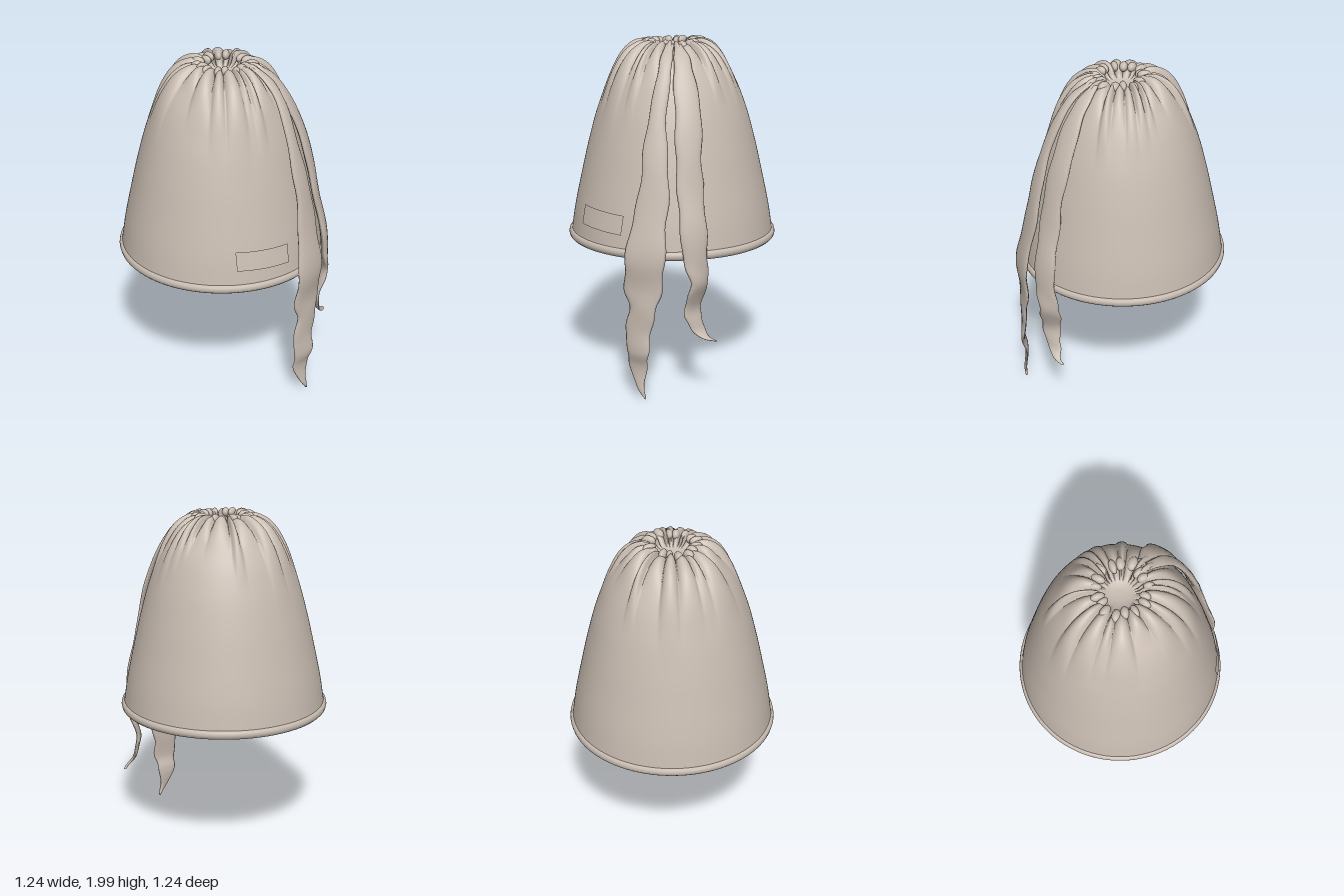
import * as THREE from 'three';

const cloth = new THREE.MeshStandardMaterial({ color: 0xc8bcb1, side: THREE.DoubleSide });
cloth.name = 'beige cloth';

// small seeded generator for irregular pleats
let seed = 11;
const rand = () => ((seed = (seed * 16807) % 2147483647) / 2147483647);
const smooth = (x, a, b) => THREE.MathUtils.smoothstep(x, a, b);

// skin over rows (bottom to top) of points; each row runs rightwards as seen from outside
function skin(rows, closed) {
  const n = rows[0].length, index = [];
  for (let r = 0; r < rows.length - 1; r++) {
    for (let i = 0; i < (closed ? n : n - 1); i++) {
      const j = (i + 1) % n, a = r * n + i, b = r * n + j, c = a + n, d = b + n;
      index.push(a, b, c, b, d, c);
    }
  }
  const g = new THREE.BufferGeometry().setFromPoints(rows.flat());
  g.setIndex(index);
  g.computeVertexNormals();
  return g;
}

function add(group, name, geometry) {
  const mesh = new THREE.Mesh(geometry, cloth);
  mesh.name = name;
  group.add(mesh);
  return mesh;
}

// bell-shaped body gathered into rounded pleats of differing width and length
function bodyGeometry() {
  const profile = new THREE.CatmullRomCurve3([
    [0.605, 0.83], [0.578, 1.0], [0.535, 1.2], [0.488, 1.4], [0.43, 1.6], [0.345, 1.8],
    [0.265, 1.91], [0.19, 1.955], [0.14, 1.95], [0.1, 1.915], [0.05, 1.895], [0, 1.89],
  ].map(([r, y]) => new THREE.Vector3(r, y, 0)), false, 'centripetal');

  const pleats = [];
  let total = 0;
  for (let i = 0; i < 23; i++) {
    const width = 0.55 + rand();
    pleats.push({ start: total, width, reach: 0.32 + 0.17 * rand(), size: 0.03 + 0.025 * rand() });
    total += width;
  }
  const rows = [], steps = 80, around = 288;
  for (let s = 0; s <= steps; s++) {
    const p = profile.getPoint(s / steps);
    const tan = profile.getTangent(s / steps);
    const nr = tan.y, ny = -tan.x;
    const row = [];
    for (let k = 0; k < around; k++) {
      const th = (k / around) * Math.PI * 2;
      // slight sideways drift of the folds
      const drift = 0.25 * (p.x - 0.1) * Math.sin(3 * th + 1);
      const u = ((((th + drift) / (Math.PI * 2)) % 1) + 1) % 1 * total;
      const f = pleats.find((q) => u < q.start + q.width) || pleats[pleats.length - 1];
      const t = THREE.MathUtils.clamp((u - f.start) / f.width, 0, 1);
      const ridge = Math.pow(4 * t * (1 - t), 0.6);
      const fade = smooth(p.x, 0.07, 0.14);
      const bulge = f.size * ridge * fade * (1 - smooth(p.x, f.reach * 0.5, f.reach))
        - 0.024 * fade * (1 - smooth(p.x, 0.2, 0.4));
      const r = Math.max(0, p.x + bulge * nr);
      row.push(new THREE.Vector3(r * Math.sin(th), p.y + bulge * ny, r * Math.cos(th)));
    }
    rows.push(row);
  }
  return skin(rows, true);
}

// soft tie: rows of [y, leftX, leftZ, rightX, rightZ] from tip to top
function tieGeometry(data, thick) {
  const curve = (k) => new THREE.CatmullRomCurve3(
    data.map((d) => new THREE.Vector3(d[k], d[0], d[k + 1])), false, 'centripetal');
  const left = curve(1), right = curve(3), rows = [], steps = 70, sides = 14;
  for (let s = 0; s <= steps; s++) {
    const t = s / steps;
    const a = left.getPoint(t), b = right.getPoint(t);
    const mid = a.clone().add(b).multiplyScalar(0.5);
    const half = b.clone().sub(a).multiplyScalar(0.5);
    half.multiplyScalar(1 + 0.06 * Math.sin(s * 0.9));
    const out = new THREE.Vector3(-half.z, 0, half.x).normalize();
    const ripple = 0.006 * Math.sin(s * 0.55) * (1 - t);
    const row = [];
    for (let i = 0; i < sides; i++) {
      const phi = (i / sides) * Math.PI * 2;
      row.push(mid.clone().addScaledVector(half, -Math.cos(phi))
        .addScaledVector(out, Math.sin(phi) * thick * (0.4 + 0.6 * smooth(t, 0, 0.5)) + ripple));
    }
    rows.push(row);
  }
  return skin(rows, true);
}

// thin patch following the curve of the wall
function patchGeometry() {
  const rows = [];
  for (let r = 0; r <= 3; r++) {
    const row = [];
    for (let i = 0; i <= 10; i++) {
      const x = -0.17 + 0.032 * i;
      const y = 0.95 + 0.108 * (r / 3) - 0.012 * (i / 10);
      const radius = 0.59 - 0.215 * (y - 0.95) + 0.01;
      row.push(new THREE.Vector3(x, y, Math.sqrt(radius * radius - x * x)));
    }
    rows.push(row);
  }
  return skin(rows, false);
}

export function createModel() {
  seed = 11;
  const model = new THREE.Group();
  model.name = 'gatheredBag';

  add(model, 'body', bodyGeometry());

  // rolled hem around the open bottom
  const hem = new THREE.TorusGeometry(0.6, 0.018, 10, 96).rotateX(Math.PI / 2).scale(1, 1.4, 1);
  add(model, 'hem', hem).position.y = 0.838;

  // crimped puffs around the drawn opening
  const puffs = new THREE.Group();
  puffs.name = 'gatherPuffs';
  const puff = new THREE.SphereGeometry(1, 14, 10);
  for (let i = 0; i < 17; i++) {
    const a = (i / 17) * Math.PI * 2 + 0.22 * (rand() - 0.5);
    const r = 0.125 + 0.035 * rand();
    const m = add(puffs, 'puff', puff);
    m.position.set(r * Math.sin(a) + 0.01, 1.95 + 0.012 * rand(), r * Math.cos(a) + 0.01);
    m.scale.set(0.019 + 0.009 * rand(), 0.028, 0.03 + 0.012 * rand());
    m.rotation.y = a;
  }
  model.add(puffs);

  // long front tie and shorter side tie
  add(model, 'longTie', tieGeometry([
    [0, 0.307, 0.562, 0.314, 0.558], [0.08, 0.25, 0.575, 0.305, 0.56],
    [0.2, 0.203, 0.585, 0.32, 0.555], [0.28, 0.205, 0.59, 0.34, 0.56],
    [0.4, 0.19, 0.6, 0.345, 0.55], [0.52, 0.215, 0.585, 0.365, 0.53],
    [0.64, 0.19, 0.6, 0.39, 0.51], [0.8, 0.205, 0.61, 0.41, 0.505],
    [1, 0.215, 0.57, 0.395, 0.475], [1.2, 0.235, 0.52, 0.375, 0.43],
    [1.4, 0.22, 0.475, 0.335, 0.4], [1.6, 0.21, 0.415, 0.29, 0.36],
    [1.8, 0.185, 0.325, 0.25, 0.28], [1.9, 0.15, 0.255, 0.205, 0.22],
    [1.965, 0.1, 0.16, 0.14, 0.13],
  ], 0.02));
  add(model, 'shortTie', tieGeometry([
    [0.335, 0.575, 0.27, 0.58, 0.255], [0.36, 0.53, 0.335, 0.545, 0.28],
    [0.42, 0.485, 0.375, 0.51, 0.285], [0.5, 0.46, 0.4, 0.485, 0.29],
    [0.6, 0.49, 0.405, 0.505, 0.28], [0.7, 0.51, 0.405, 0.53, 0.28],
    [0.82, 0.48, 0.43, 0.545, 0.3], [1, 0.45, 0.425, 0.53, 0.295],
    [1.2, 0.41, 0.405, 0.49, 0.275], [1.4, 0.37, 0.375, 0.455, 0.255],
    [1.6, 0.33, 0.335, 0.415, 0.21], [1.8, 0.255, 0.265, 0.325, 0.17],
    [1.9, 0.205, 0.205, 0.255, 0.135], [1.965, 0.14, 0.135, 0.16, 0.1],
  ], 0.022));

  add(model, 'patch', patchGeometry());
  return model;
}
